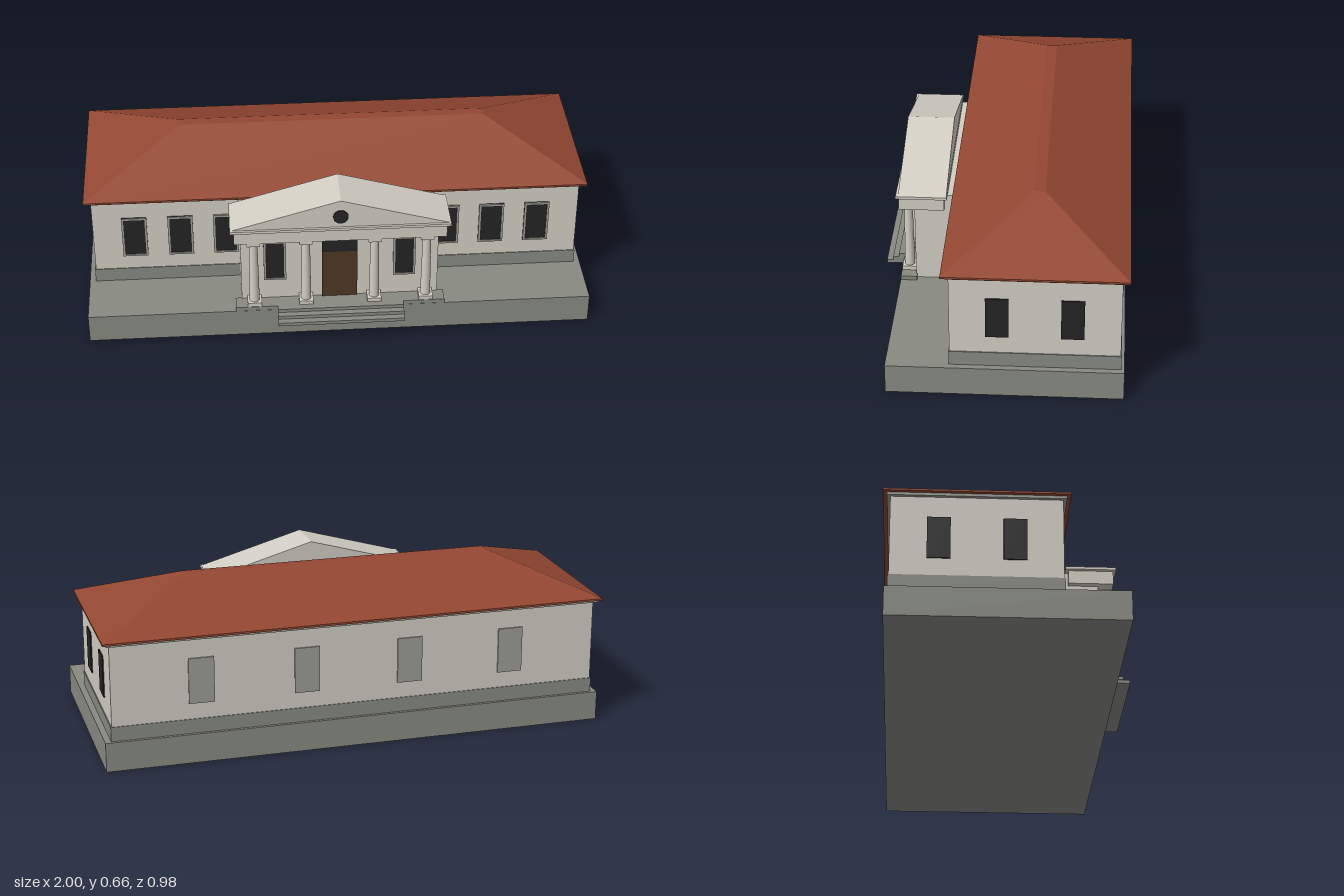
import * as THREE from 'three';

const mat = (name, color) => {
  const m = new THREE.MeshStandardMaterial({ color });
  m.name = name;
  return m;
};

export function createModel() {
  const model = new THREE.Group();
  model.name = 'portico building';
  const wall = mat('cream wall', 0xd2cec4);
  const stone = mat('grey stone', 0x888a82);
  const trim = mat('trim grey', 0x9c9d95);
  const tile = mat('red roof tile', 0x934732);
  const glass = mat('dark glass', 0x242424);
  const wood = mat('brown wood', 0x4e3824);

  const add = (name, geometry, material, x = 0, y = 0, z = 0, parent = model) => {
    const mesh = new THREE.Mesh(geometry, material);
    mesh.name = name;
    mesh.position.set(x, y, z);
    parent.add(mesh);
    return mesh;
  };
  // Box given by its extents
  const box = (name, m, x0, x1, y0, y1, z0, z1, parent) =>
    add(name, new THREE.BoxGeometry(x1 - x0, y1 - y0, z1 - z0), m,
      (x0 + x1) / 2, (y0 + y1) / 2, (z0 + z1) / 2, parent);

  // Main block
  box('basePlatform', stone, -1, 1, 0, 0.117, -0.475, 0.415);
  box('plinth', stone, -0.976, 0.976, 0.117, 0.175, -0.463, 0.178);
  box('mainWalls', wall, -0.972, 0.972, 0.175, 0.497, -0.46, 0.175);
  box('cornice', trim, -0.985, 0.985, 0.497, 0.508, -0.472, 0.188);
  box('eaves', tile, -1, 1, 0.508, 0.516, -0.487, 0.203);

  // Hipped roof: a box whose top face shrinks to a narrow ridge
  const roof = new THREE.BoxGeometry(2, 0.145, 0.69);
  const p = roof.attributes.position;
  for (let i = 0; i < p.count; i++) {
    if (p.getY(i) > 0) {
      p.setX(i, Math.sign(p.getX(i)) * 0.617);
      p.setZ(i, Math.sign(p.getZ(i)) * 0.021);
    }
  }
  const hip = roof.toNonIndexed();
  hip.computeVertexNormals();
  add('hippedRoof', hip, tile, 0, 0.5885, -0.142);

  // Window: border strips around a glass pane, or a plain closed shutter
  function makeWindow(name, w, h, x, y, z, angle, style) {
    const g = new THREE.Group();
    g.name = name;
    g.position.set(x, y, z);
    g.rotation.y = angle;
    model.add(g);
    if (style === 'shutter') {
      box('shutter', trim, -w / 2, w / 2, -h / 2, h / 2, 0, 0.006, g);
      return;
    }
    box('pane', glass, -w / 2, w / 2, -h / 2, h / 2, 0, 0.005, g);
    if (style !== 'framed') return;
    const b = 0.008;
    for (const s of [-1, 1]) {
      add('frameSide', new THREE.BoxGeometry(b, h, 0.008), trim, s * (w - b) / 2, 0, 0.004, g);
      add('frameRail', new THREE.BoxGeometry(w - 2 * b, b, 0.008), trim, 0, s * (h - b) / 2, 0.004, g);
    }
  }
  for (const s of [-1, 1]) {
    for (const x of [0.443, 0.624, 0.807])
      makeWindow('frontWindow', 0.1, 0.182, s * x, 0.33, 0.175, 0, 'framed');
    makeWindow('porticoWindow', 0.088, 0.184, s * 0.256, 0.318, 0.355, 0, 'framed');
    for (const x of [0.207, 0.623])
      makeWindow('backWindow', 0.1, 0.182, s * x, 0.33, -0.46, Math.PI, 'shutter');
    for (const z of [-0.002, -0.281])
      makeWindow('sideWindow', 0.086, 0.167, s * 0.972, 0.329, z, s * Math.PI / 2, 'plain');
  }

  // Projecting entrance
  box('entranceWalls', wall, -0.39, 0.39, 0.117, 0.496, 0.17, 0.355);
  box('porticoFloor', stone, -0.415, 0.415, 0.117, 0.134, 0.35, 0.414);
  box('door', wood, -0.07, 0.07, 0.134, 0.35, 0.355, 0.361);
  box('transom', glass, -0.07, 0.07, 0.35, 0.41, 0.355, 0.361);

  // Front steps
  [[0.09, 0.488], [0.105, 0.463], [0.12, 0.439]].forEach(([y, z]) =>
    box('step', stone, -0.25, 0.25, y, y + 0.0145, 0.38, z));

  // Columns
  for (const x of [-0.34, -0.135, 0.135, 0.34]) {
    const column = new THREE.Group();
    column.name = 'column';
    column.position.set(x, 0, 0.384);
    model.add(column);
    box('columnBase', wall, -0.028, 0.028, 0.134, 0.151, -0.028, 0.028, column);
    add('shaft', new THREE.CylinderGeometry(0.0165, 0.02, 0.275, 20), wall, 0, 0.2885, 0, column);
    box('capital', wall, -0.026, 0.026, 0.425, 0.443, -0.026, 0.026, column);
  }

  // Entablature and pediment
  box('entablature', wall, -0.415, 0.415, 0.442, 0.497, 0.237, 0.414);
  box('porticoCornice', wall, -0.43, 0.43, 0.497, 0.508, 0.225, 0.424);
  const gable = new THREE.Shape([
    new THREE.Vector2(-0.425, 0.508), new THREE.Vector2(0.425, 0.508), new THREE.Vector2(0, 0.629)]);
  add('pediment', new THREE.ExtrudeGeometry(gable, { depth: 0.187, bevelEnabled: false }), wall, 0, 0, 0.227);
  const disc = new THREE.CylinderGeometry(0.03, 0.03, 0.005, 24).rotateX(Math.PI / 2);
  add('roundWindow', disc, glass, 0, 0.556, 0.4155);

  return model;
}
